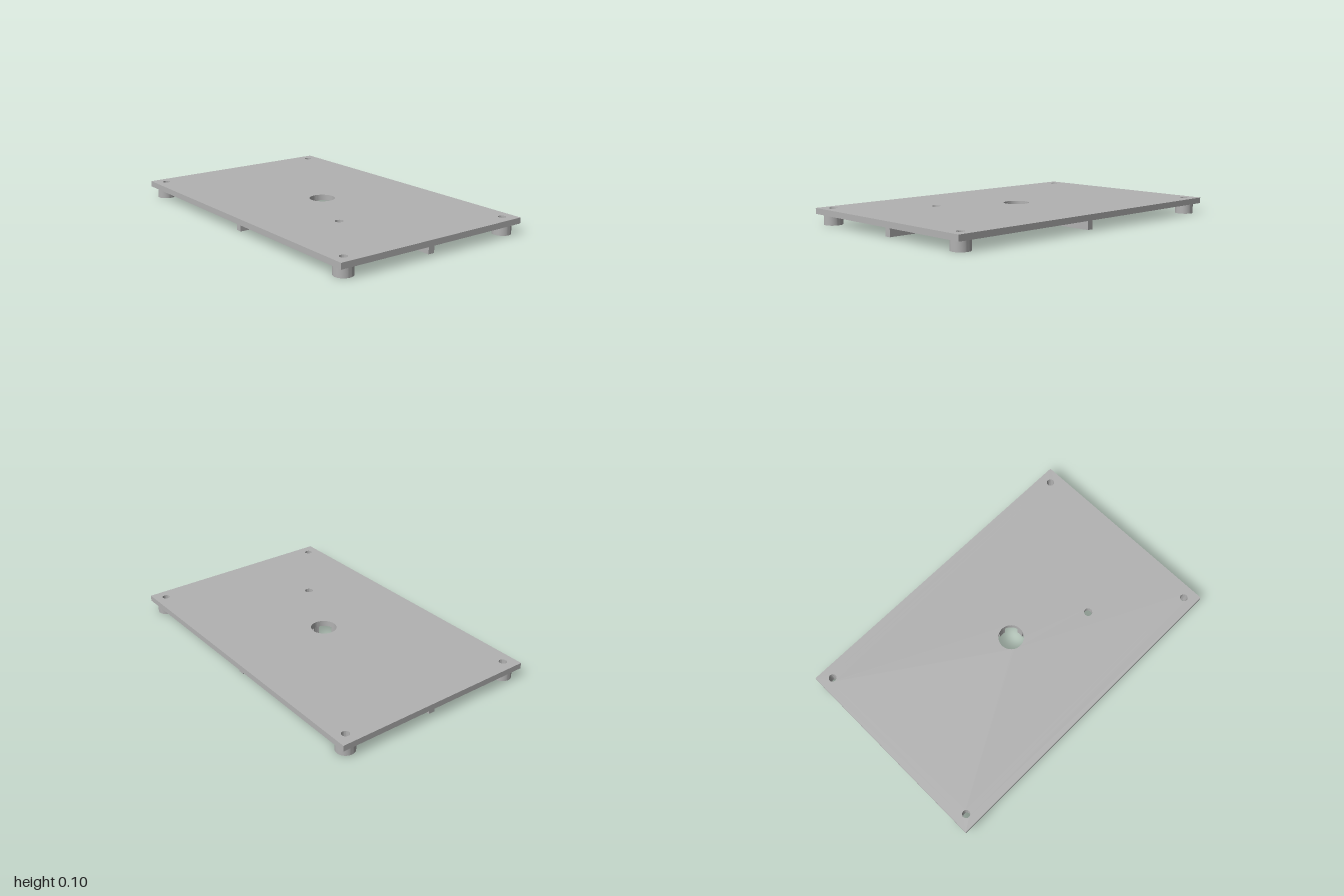
import * as THREE from 'three';
import { toCreasedNormals } from 'three/addons/utils/BufferGeometryUtils.js';

const TOP = 0.096, UNDER = 0.061;       // plate top and underside heights
const HALF_X = 1, HALF_Z = 0.638;
const FOOT_X = 0.927, FOOT_Z = 0.567;
const FOOT_R = 0.055, SCREW_R = 0.023;
const CENTRE_R = 0.077, RIB_HALF = 0.02;

// Circular hole; shape coordinates are (x, z)
function hole(x, z, r) {
  return new THREE.Path().absarc(x, z, r, 0, Math.PI * 2, true);
}

// Extrude a plan-view shape between two heights, with smooth round walls
function slab(shape, bottom, top) {
  const geo = new THREE.ExtrudeGeometry(shape, {
    depth: top - bottom, bevelEnabled: false, curveSegments: 24,
  });
  geo.rotateX(Math.PI / 2);
  geo.translate(0, top, 0);
  return toCreasedNormals(geo, Math.PI / 6);
}

export function createModel() {
  const group = new THREE.Group();
  group.name = 'basePlate';
  const grey = new THREE.MeshStandardMaterial({ color: 0xb2b2b2 });
  grey.name = 'grey';

  function add(name, geometry) {
    const mesh = new THREE.Mesh(geometry, grey);
    mesh.name = name;
    group.add(mesh);
    return mesh;
  }

  const corners = [[1, 1], [1, -1], [-1, 1], [-1, -1]];

  // Flat plate with corner screw holes, a large centre hole and one offset hole
  const plate = new THREE.Shape([
    new THREE.Vector2(-HALF_X, -HALF_Z), new THREE.Vector2(HALF_X, -HALF_Z),
    new THREE.Vector2(HALF_X, HALF_Z), new THREE.Vector2(-HALF_X, HALF_Z),
  ]);
  plate.holes.push(hole(0, 0, CENTRE_R), hole(0.445, 0.217, 0.025));
  for (const [sx, sz] of corners) plate.holes.push(hole(sx * FOOT_X, sz * FOOT_Z, SCREW_R));
  add('plate', slab(plate, UNDER, TOP));

  // Hollow round feet under the corners
  const ring = new THREE.Shape().absarc(0, 0, FOOT_R, 0, Math.PI * 2, false);
  ring.holes.push(hole(0, 0, SCREW_R));
  const footGeo = slab(ring, 0, UNDER);
  for (const [sx, sz] of corners) {
    add('foot', footGeo).position.set(sx * FOOT_X, 0, sz * FOOT_Z);
  }

  // Cross of stiffening ribs, their inner ends cut by the centre hole
  const cut = Math.asin(RIB_HALF / CENTRE_R);
  const ribEnds = [0.955, 0.595, 0.955, 0.595];
  ribEnds.forEach((end, i) => {
    const rib = new THREE.Shape();
    rib.moveTo(end, -RIB_HALF);
    rib.lineTo(end, RIB_HALF);
    rib.absarc(0, 0, CENTRE_R, cut, -cut, true);
    rib.closePath();
    add('rib', slab(rib, 0, UNDER)).rotation.y = i * Math.PI / 2;
  });

  return group;
}
